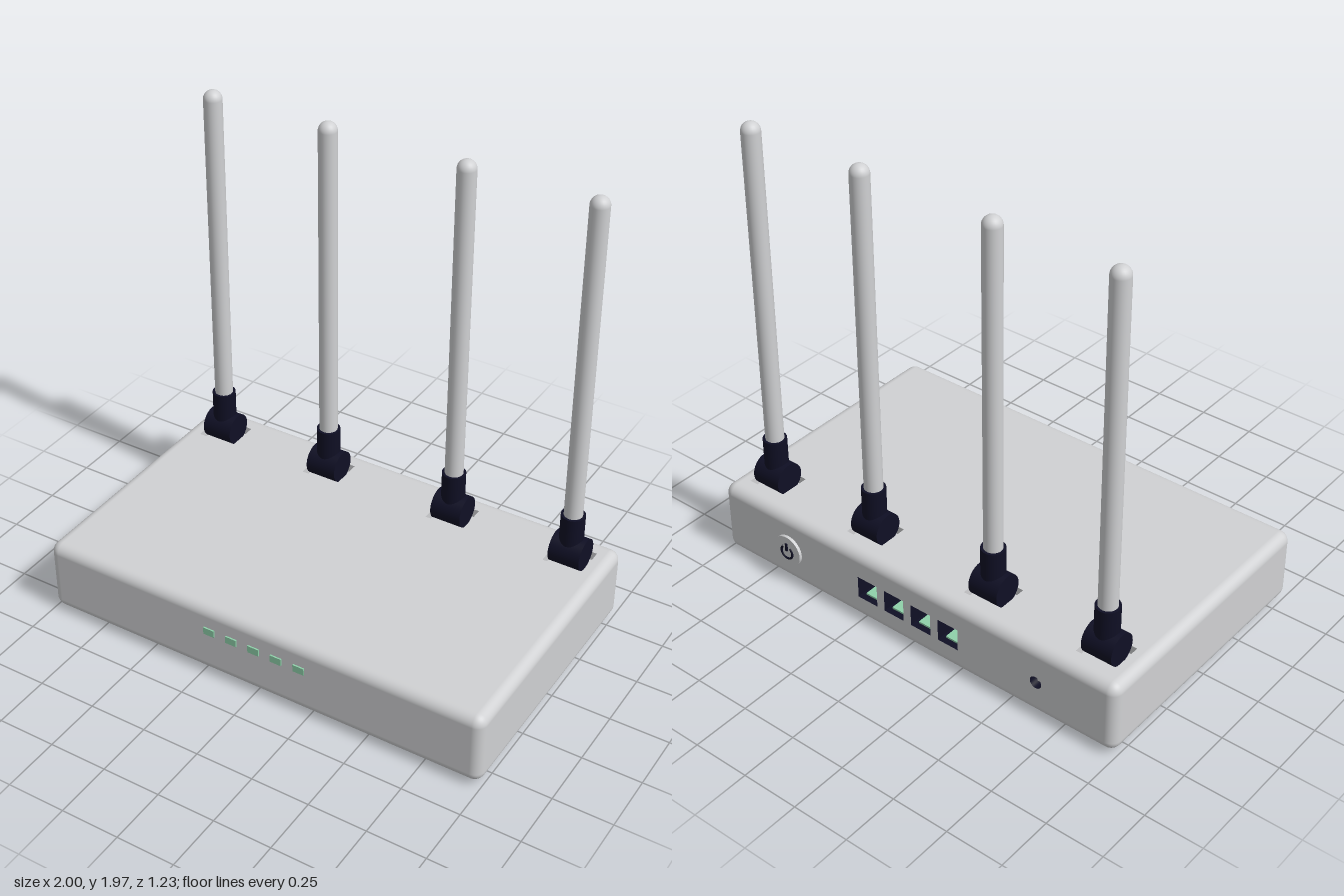
import * as THREE from 'three';
import { RoundedBoxGeometry } from 'three/addons/geometries/RoundedBoxGeometry.js';

const mat = (name, color) => new THREE.MeshStandardMaterial({ name, color, side: THREE.DoubleSide });

// Drop the triangles lying flat in the plane axis = value, leaving that side open
function openSide(geometry, axis, value) {
  const g = geometry.index ? geometry.toNonIndexed() : geometry;
  const p = g.attributes.position, n = g.attributes.normal;
  const pos = [], nor = [];
  for (let i = 0; i < p.count; i += 3) {
    const flat = [0, 1, 2].every(k => Math.abs(p.getComponent(i + k, axis) - value) < 1e-4);
    if (flat) continue;
    for (let k = i; k < i + 3; k++) {
      pos.push(p.getX(k), p.getY(k), p.getZ(k));
      nor.push(n.getX(k), n.getY(k), n.getZ(k));
    }
  }
  const out = new THREE.BufferGeometry();
  out.setAttribute('position', new THREE.Float32BufferAttribute(pos, 3));
  out.setAttribute('normal', new THREE.Float32BufferAttribute(nor, 3));
  return out;
}

function rectangle(path, x, y, w, h) {
  path.moveTo(x - w / 2, y - h / 2);
  path.lineTo(x + w / 2, y - h / 2);
  path.lineTo(x + w / 2, y + h / 2);
  path.lineTo(x - w / 2, y + h / 2);
  path.closePath();
  return path;
}

export function createModel() {
  const model = new THREE.Group();
  const grey = mat('light grey plastic', 0xd0d1d3);
  const dark = mat('dark navy plastic', 0x0f0f24);
  const green = mat('pale green', 0x8fd0aa);

  function add(name, geometry, material, x = 0, y = 0, z = 0, parent = model) {
    const mesh = new THREE.Mesh(geometry, material);
    mesh.name = name;
    mesh.position.set(x, y, z);
    parent.add(mesh);
    return mesh;
  }

  const W = 2, H = 0.32, D = 1.2, R = 0.045;
  const midY = 0.175, midZ = 0.005;
  const top = midY + H / 2, back = midZ - D / 2;
  const antennaX = [-0.84, -0.305, 0.3, 0.84], antennaZ = -0.435;
  const portX = [-0.207, -0.069, 0.069, 0.207], portSize = 0.1, portY = 0.17;
  const jackX = -0.635, jackR = 0.027;

  // Case: rounded box whose top and back flats are replaced by pierced panels
  let shell = new RoundedBoxGeometry(W, H, D, 5, R);
  shell = openSide(openSide(shell, 1, H / 2), 2, -D / 2);
  add('case', shell, grey, 0, midY, midZ);

  const topShape = rectangle(new THREE.Shape(), 0, 0, W - 2 * R, D - 2 * R);
  for (const x of antennaX)
    topShape.holes.push(rectangle(new THREE.Path(), x, midZ - antennaZ, 0.17, 0.15));
  add('topPanel', new THREE.ShapeGeometry(topShape).rotateX(-Math.PI / 2), grey, 0, top, midZ);

  const backShape = rectangle(new THREE.Shape(), 0, 0, W - 2 * R, H - 2 * R);
  for (const x of portX)
    backShape.holes.push(rectangle(new THREE.Path(), -x, portY - midY, portSize, portSize));
  const jackHole = new THREE.Path();
  jackHole.absarc(-jackX, portY - midY, jackR, 0, Math.PI * 2);
  backShape.holes.push(jackHole);
  add('backPanel', new THREE.ShapeGeometry(backShape, 16).rotateY(Math.PI), grey, 0, midY, back);

  // Antennas: recessed socket, hinge barrel, sleeve and round-tipped rod
  antennaX.forEach((x) => {
    const antenna = new THREE.Group();
    antenna.name = 'antenna';
    antenna.position.set(x, 0, antennaZ);
    model.add(antenna);
    const socket = openSide(new THREE.BoxGeometry(0.17, 0.04, 0.15), 1, 0.02);
    add('socket', socket, grey, 0, top - 0.02, 0, antenna);
    const barrel = new THREE.CylinderGeometry(0.068, 0.068, 0.137, 32).rotateZ(Math.PI / 2);
    add('hingeBarrel', barrel, dark, 0, 0.372, 0, antenna);
    add('sleeve', new THREE.CylinderGeometry(0.05, 0.05, 0.17, 32), dark, 0, 0.465, 0, antenna);
    add('rod', new THREE.CapsuleGeometry(0.039, 1.39, 8, 24), grey, 0, 1.236, 0, antenna);
  });

  // Network ports: dark pockets with a contact tongue on the floor
  portX.forEach((x) => {
    const pocket = openSide(new THREE.BoxGeometry(portSize, portSize, 0.1), 2, -0.05);
    add('portPocket', pocket, dark, x, portY, back + 0.05);
    add('portContacts', new THREE.BoxGeometry(0.06, 0.008, 0.07), green, x, portY - 0.042, back + 0.06);
  });

  // Power jack with centre pin
  const alongZ = (r, l, open = false) =>
    new THREE.CylinderGeometry(r, r, l, 32, 1, open).rotateX(Math.PI / 2);
  add('jackWall', alongZ(jackR, 0.08, true), dark, jackX, portY, back + 0.04);
  add('jackEnd', new THREE.CircleGeometry(jackR, 24).rotateY(Math.PI), dark, jackX, portY, back + 0.08);
  add('jackPin', alongZ(0.007, 0.06), grey, jackX, portY, back + 0.05);

  // Power button with ring-and-bar mark
  const button = new THREE.Group();
  button.name = 'powerButton';
  button.position.set(0.635, portY, back);
  model.add(button);
  add('buttonCap', alongZ(0.07, 0.03), grey, 0, 0, 0.002, button);
  const ring = new THREE.TorusGeometry(0.03, 0.005, 8, 32, Math.PI * 1.6)
    .rotateZ(Math.PI * 0.7);
  add('buttonRing', ring, dark, 0, -0.004, -0.014, button);
  add('buttonBar', new THREE.BoxGeometry(0.01, 0.035, 0.008), dark, 0, 0.022, -0.015, button);

  // Status lights on the front
  for (let i = -2; i <= 2; i++)
    add('statusLight', new THREE.BoxGeometry(0.05, 0.032, 0.009), green, i * 0.104, 0.224, midZ + D / 2 + 0.002);

  // Feet
  for (const x of [-0.83, 0.83])
    for (const z of [-0.445, 0.47])
      add('foot', new THREE.CylinderGeometry(0.04, 0.04, 0.02, 32), dark, x, 0.01, z);

  return model;
}
